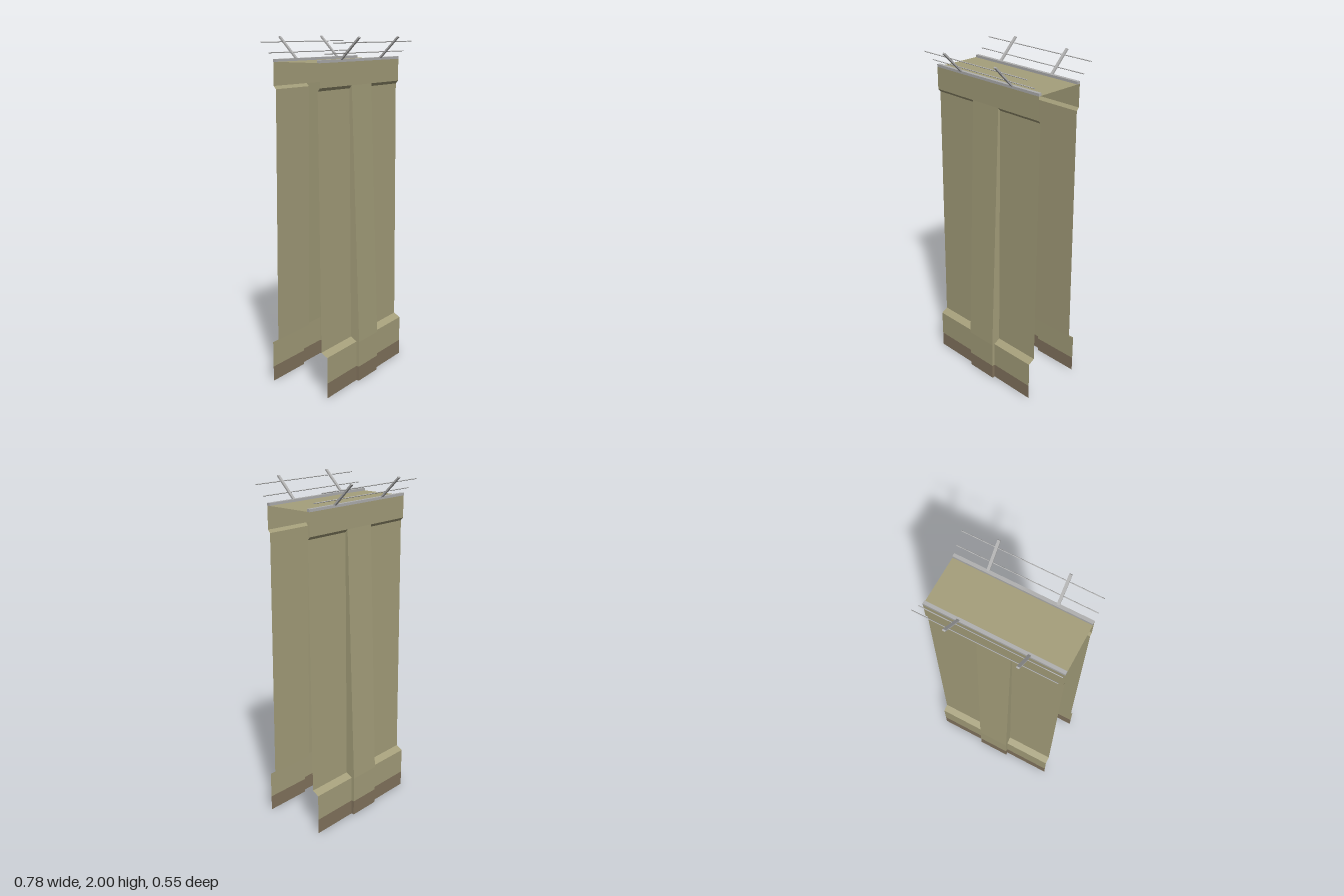
import * as THREE from 'three';

const material = (name, color, side = THREE.FrontSide) => {
  const m = new THREE.MeshStandardMaterial({ color, side });
  m.name = name;
  return m;
};

const HALF = 0.39;        // half length of the wall
const PILASTER = 0.098;   // half width of the central pilaster
const BASE = 0.09;        // height of the painted base

// Profiles are [z, y] points from the bottom up
const panelProfile = [[0.197, BASE], [0.197, 0.245], [0.157, 0.267], [0.141, 1.72], [0.156, 1.737]];
const pilasterProfile = [[0.215, BASE], [0.215, 0.245], [0.156, 1.737]];

// Sheet that sweeps a [z, y] profile from x0 to x1, facing +z
function sheet(profile, x0, x1) {
  const p = [];
  for (let i = 0; i < profile.length - 1; i++) {
    const [za, ya] = profile[i], [zb, yb] = profile[i + 1];
    p.push(x0, ya, za, x1, ya, za, x1, yb, zb, x0, ya, za, x1, yb, zb, x0, yb, zb);
  }
  const g = new THREE.BufferGeometry();
  g.setAttribute('position', new THREE.Float32BufferAttribute(p, 3));
  g.computeVertexNormals();
  return g;
}

// Flat cheek outlined in [z, y], standing at x and facing away from the centre
function cheek(outline, x) {
  const s = Math.sign(x);
  const shape = new THREE.Shape(outline.map(([z, y]) => new THREE.Vector2(-s * z, y)));
  return new THREE.ShapeGeometry(shape).rotateY(s * Math.PI / 2).translate(x, 0, 0);
}

export function createModel() {
  const stone = material('stone', 0xa59f7b, THREE.DoubleSide);
  const baseBrown = material('baseBrown', 0x83745e, THREE.DoubleSide);
  const metal = material('greyMetal', 0xb0b0b0);

  const model = new THREE.Group();
  model.name = 'wallSection';
  const add = (parent, name, geometry, mat) => {
    const mesh = new THREE.Mesh(geometry, mat);
    mesh.name = name;
    parent.add(mesh);
    return mesh;
  };

  // Both long faces are the same, turned half a circle
  for (const [name, turn] of [['front', 0], ['back', Math.PI]]) {
    const face = new THREE.Group();
    face.name = name + 'Face';
    face.rotation.y = turn;
    model.add(face);

    // Recessed panels and their base on each side of the pilaster
    for (const [x0, x1] of [[-HALF, -PILASTER], [PILASTER, HALF]]) {
      add(face, 'panel', sheet(panelProfile, x0, x1), stone);
      add(face, 'panelBase', sheet([[0.197, 0], [0.197, BASE]], x0, x1), baseBrown);
    }

    // Tapered pilaster, hollow behind
    add(face, 'pilaster', sheet(pilasterProfile, -PILASTER, PILASTER), stone);
    add(face, 'pilasterBase', sheet([[0.215, 0], [0.215, BASE]], -PILASTER, PILASTER), baseBrown);
    for (const x of [-PILASTER, PILASTER]) {
      const outline = [...pilasterProfile, ...panelProfile.slice(0, -1).reverse()];
      add(face, 'pilasterCheek', cheek(outline, x), stone);
      const foot = [[0.215, 0], [0.215, BASE], [0.197, BASE], [0.197, 0]];
      add(face, 'pilasterCheekBase', cheek(foot, x), baseBrown);
    }

    // Top band and curb
    add(face, 'topBand', sheet([[0.156, 1.737], [0.156, 1.866]], -HALF, HALF), stone);
    add(face, 'curb', new THREE.BoxGeometry(2 * HALF, 0.015, 0.02).translate(0, 1.873, 0.147), metal);

    // Leaning railing: local y runs up along the posts
    const railing = new THREE.Group();
    railing.name = 'railing';
    railing.position.set(0, 1.936, 0.21);
    railing.rotation.x = Math.PI / 4;
    face.add(railing);
    for (const x of [-0.195, 0.195]) {
      add(railing, 'post', new THREE.BoxGeometry(0.016, 0.17, 0.009), metal).position.x = x;
    }
    for (const y of [-0.033, 0.046]) {
      add(railing, 'rail', new THREE.BoxGeometry(2 * HALF, 0.004, 0.004), metal).position.y = y;
    }
  }

  // Deck between the curbs
  add(model, 'deck', new THREE.PlaneGeometry(2 * HALF, 0.312).rotateX(-Math.PI / 2).translate(0, 1.866, 0), stone);
  return model;
}
